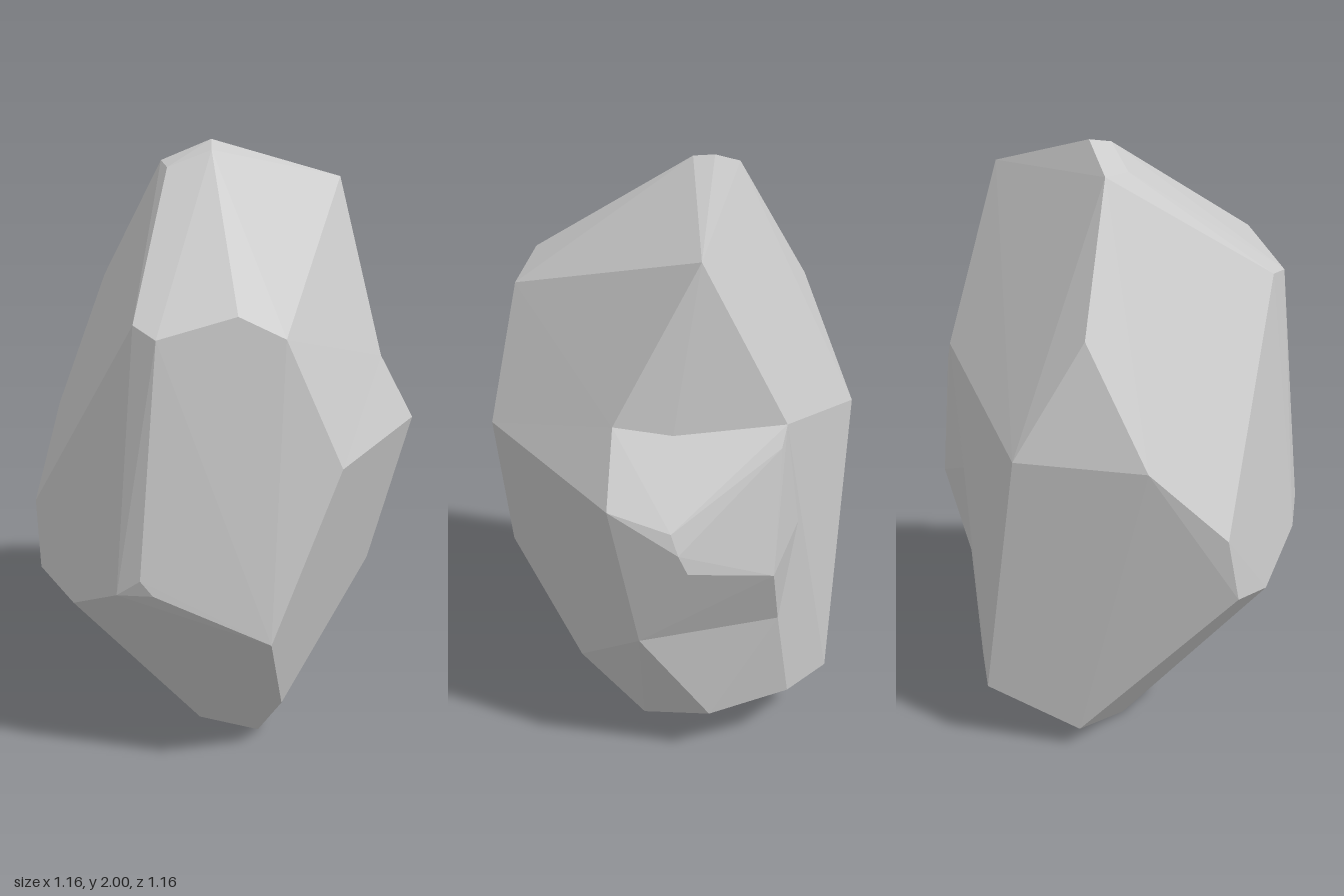
import * as THREE from 'three';
import { ConvexGeometry } from 'three/addons/geometries/ConvexGeometry.js';

const v = (x, y, z) => new THREE.Vector3(x, y, z);

// Corners shared by the main stone and the bulge on its back
const rightShoulder = v(-0.58, 1.13, 0);
const leftShoulder = v(0.58, 1.15, -0.01);
const leftHip = v(0.515, 0.59, 0.2);
const notchLeft = v(0.25, 1.32, -0.415);
const notchRight = v(-0.27, 1.305, -0.45);
const waistLeft = v(0.18, 0.57, -0.44);
const waistRight = v(-0.27, 0.58, -0.394);
const shared = [rightShoulder, leftShoulder, leftHip, notchLeft, notchRight, waistLeft, waistRight];

// Peak and the ridges running down from it
const crown = [
  v(-0.12, 2, -0.02), v(-0.06, 1.985, 0.02), v(-0.22, 1.93, 0.1), v(-0.14, 1.93, 0.13),
  v(-0.01, 1.84, -0.44), v(0.4, 1.63, 0.245), v(0.48, 1.56, 0.13),
];

// Front facets
const front = [
  v(0.17, 1.58, 0.46), v(0.27, 1.56, 0.445), v(-0.45, 1.51, 0.175), v(-0.42, 1.12, 0.375),
  v(-0.265, 0.88, 0.565), v(-0.22, 0.665, 0.58), v(-0.03, 0.615, 0.575),
  v(0.19, 0.73, 0.55), v(0.295, 0.75, 0.485), v(0.27, 0.8, 0.515),
];

// Tapered foot
const foot = [
  v(-0.48, 0.235, -0.19), v(-0.325, 0.24, -0.32), v(-0.06, 0.195, -0.35), v(0.315, 0.225, 0.01),
  v(-0.335, 0.08, 0.07), v(-0.07, 0, 0.07), v(0.11, 0, -0.045),
];

// Bulge that stands out below the notch in the back
const bulge = [
  v(0.285, 1.095, -0.525), v(0.1, 1.03, -0.572), v(0.08, 0.96, -0.585), v(0.05, 0.89, -0.58),
  v(-0.25, 1.24, -0.475), v(-0.225, 0.825, -0.525),
];

export function createModel() {
  const group = new THREE.Group();
  group.name = 'rock';
  const material = new THREE.MeshStandardMaterial({ color: 0xcccccc, flatShading: true });

  const addHull = (name, points) => {
    const mesh = new THREE.Mesh(new ConvexGeometry(points), material);
    mesh.name = name;
    group.add(mesh);
  };
  addHull('mainStone', [...crown, ...front, ...foot, ...shared]);
  addHull('backBulge', [...bulge, ...shared]);
  return group;
}
